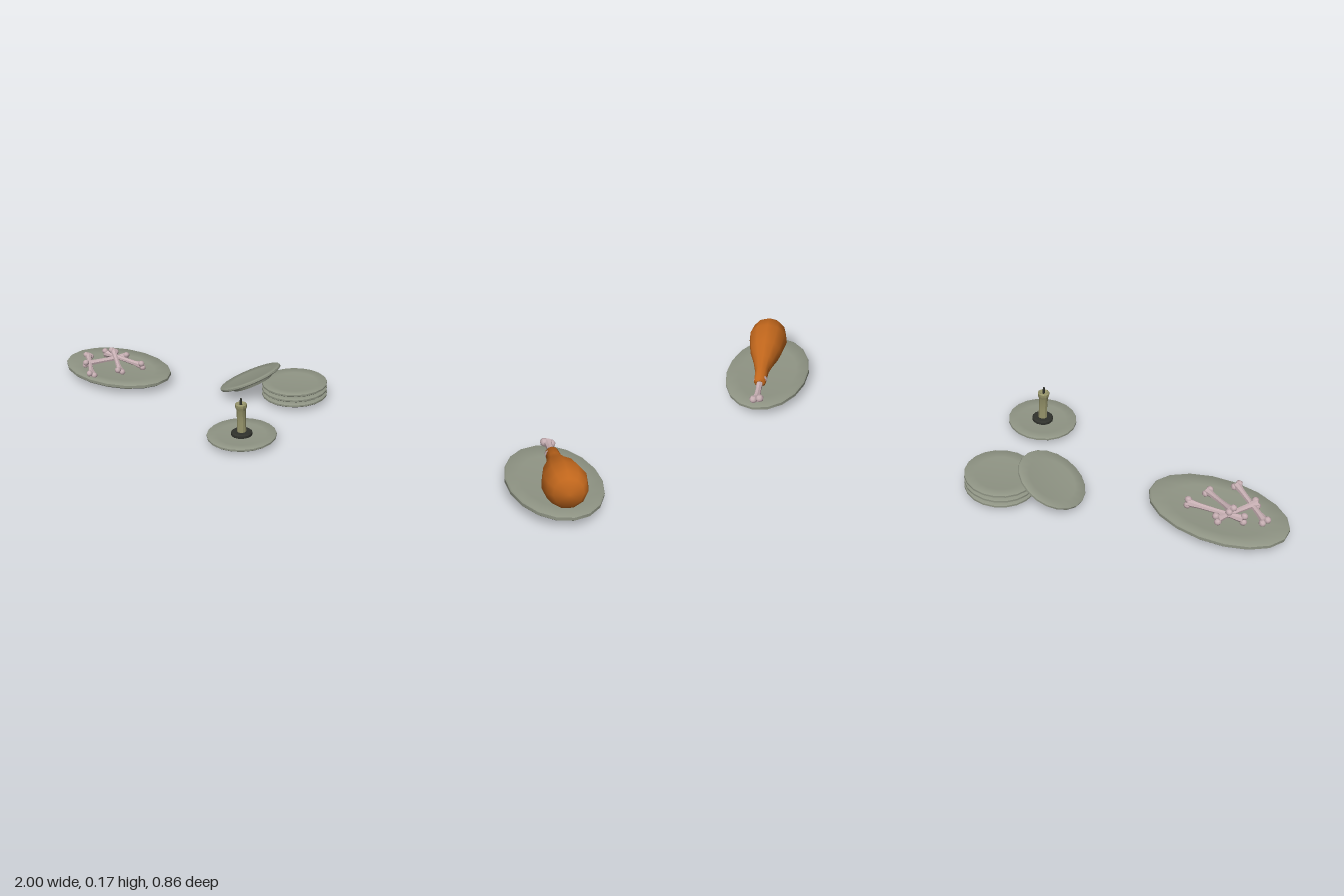
import * as THREE from 'three';
import { toCreasedNormals } from 'three/addons/utils/BufferGeometryUtils.js';

const mat = (color) => new THREE.MeshStandardMaterial({ color });
const UP = new THREE.Vector3(0, 1, 0);

export function createModel() {
  const model = new THREE.Group();
  const ceramic = mat(0x8f9484), boneMat = mat(0xc8b0b4), meatMat = mat(0xc0661c);
  const wax = mat(0x96946a), dark = mat(0x30322c);

  // Surface of revolution; the profile runs from bottom to top as [radius, height]
  const turned = (name, profile, sides, material, crease = 0.6) => {
    const g = new THREE.LatheGeometry(profile.map(([r, y]) => new THREE.Vector2(r, y)), sides);
    const mesh = new THREE.Mesh(toCreasedNormals(g, crease), material);
    mesh.name = name;
    return mesh;
  };

  // Unit-radius dish: foot, overhanging rim and shallow well; h is the overall height
  const dish = (name, rx, rz, h, sides) => {
    const mesh = turned(name, [
      [0, 0], [0.64, 0], [0.68, 0.6 * h], [0.97, 0.58 * h], [1, 0.68 * h],
      [1, 0.9 * h], [0.97, h], [0.7, 0.86 * h], [0, 0.84 * h],
    ], sides, ceramic);
    mesh.scale.set(rx, 1, rz);
    return mesh;
  };

  // Lay a part built along +y from point a towards point b
  const align = (obj, a, b) => {
    obj.position.copy(a);
    obj.quaternion.setFromUnitVectors(UP, b.clone().sub(a).normalize());
    return obj;
  };

  // Bone: waisted shaft with a pair of knuckles at each end
  const bone = (name, a, b, r) => {
    const A = new THREE.Vector3(...a), B = new THREE.Vector3(...b);
    const L = A.distanceTo(B);
    const g = new THREE.Group();
    g.name = name;
    g.add(turned('shaft', [
      [0, 0], [r * 1.25, 0.01 * L], [r * 0.85, 0.2 * L], [r * 0.75, 0.5 * L],
      [r * 0.85, 0.8 * L], [r * 1.25, 0.99 * L], [0, L],
    ], 7, boneMat));
    for (const y of [0, L]) for (const s of [-1, 1]) {
      const k = new THREE.Mesh(new THREE.SphereGeometry(r * 1.05, 7, 5), boneMat);
      k.name = 'knuckle';
      k.position.set(s * r * 0.85, y, 0);
      g.add(k);
    }
    return align(g, A, B);
  };

  // Platter of picked bones
  const bonePlatter = dish('bonePlatter', 0.226, 0.149, 0.044, 18);
  bonePlatter.position.set(-0.785, 0, -0.27);
  bonePlatter.rotation.y = -0.37;
  model.add(bonePlatter);
  [
    [[-0.925, 0.05, -0.315], [-0.84, 0.05, -0.155]],
    [[-0.86, 0.062, -0.33], [-0.69, 0.053, -0.27]],
    [[-0.78, 0.055, -0.335], [-0.9, 0.052, -0.235]],
    [[-0.82, 0.08, -0.315], [-0.75, 0.052, -0.205]],
  ].forEach(([a, b], i) => model.add(bone('looseBone' + (i + 1), a, b, 0.011)));

  // Platter with the drumstick
  const meatPlatter = dish('drumstickPlatter', 0.226, 0.149, 0.044, 18);
  meatPlatter.position.set(0.845, 0, 0.205);
  meatPlatter.rotation.y = -1.36;
  model.add(meatPlatter);

  const tip = new THREE.Vector3(0.813, 0.062, 0.005), end = new THREE.Vector3(0.895, 0.108, 0.41);
  const drumstick = new THREE.Group();
  drumstick.name = 'drumstick';
  drumstick.add(turned('meat', [
    [0, 0.085], [0.014, 0.08], [0.021, 0.088], [0.024, 0.145], [0.036, 0.195],
    [0.056, 0.255], [0.069, 0.33], [0.06, 0.378], [0.045, 0.399], [0, 0.417],
  ], 11, meatMat, 1.0));
  align(drumstick, tip, end);
  model.add(drumstick);
  model.add(bone('drumstickBone', tip.toArray(), [0.833, 0.072, 0.105], 0.0135));

  // Stack of round plates with one leaning against it
  for (let i = 0; i < 3; i++) {
    const p = dish('stackedPlate' + (i + 1), 0.117, 0.117, 0.028, 20);
    p.position.set(-0.095, i * 0.02, -0.247);
    model.add(p);
  }
  const leaning = dish('leaningPlate', 0.117, 0.117, 0.028, 20);
  leaning.position.set(-0.252, 0.043, -0.247);
  leaning.rotation.set(-0.09, 0, 0.42);
  model.add(leaning);

  // Candle on its own plate
  const candle = new THREE.Group();
  candle.name = 'candleHolder';
  candle.position.set(-0.18, 0, 0.12);
  candle.add(dish('candlePlate', 0.117, 0.117, 0.028, 20));
  const socket = turned('socket', [
    [0, 0.022], [0.036, 0.022], [0.036, 0.032], [0.031, 0.036], [0.018, 0.036], [0, 0.034],
  ], 14, dark);
  const stick = turned('candle', [
    [0, 0.03], [0.016, 0.03], [0.0145, 0.07], [0.016, 0.115], [0.02, 0.125],
    [0.02, 0.135], [0.016, 0.138], [0.009, 0.133], [0, 0.132],
  ], 10, wax);
  const wick = new THREE.Mesh(new THREE.CylinderGeometry(0.0035, 0.0045, 0.024, 6), dark);
  wick.name = 'wick';
  wick.position.y = 0.143;
  candle.add(socket, stick, wick);
  model.add(candle);

  return model;
}
